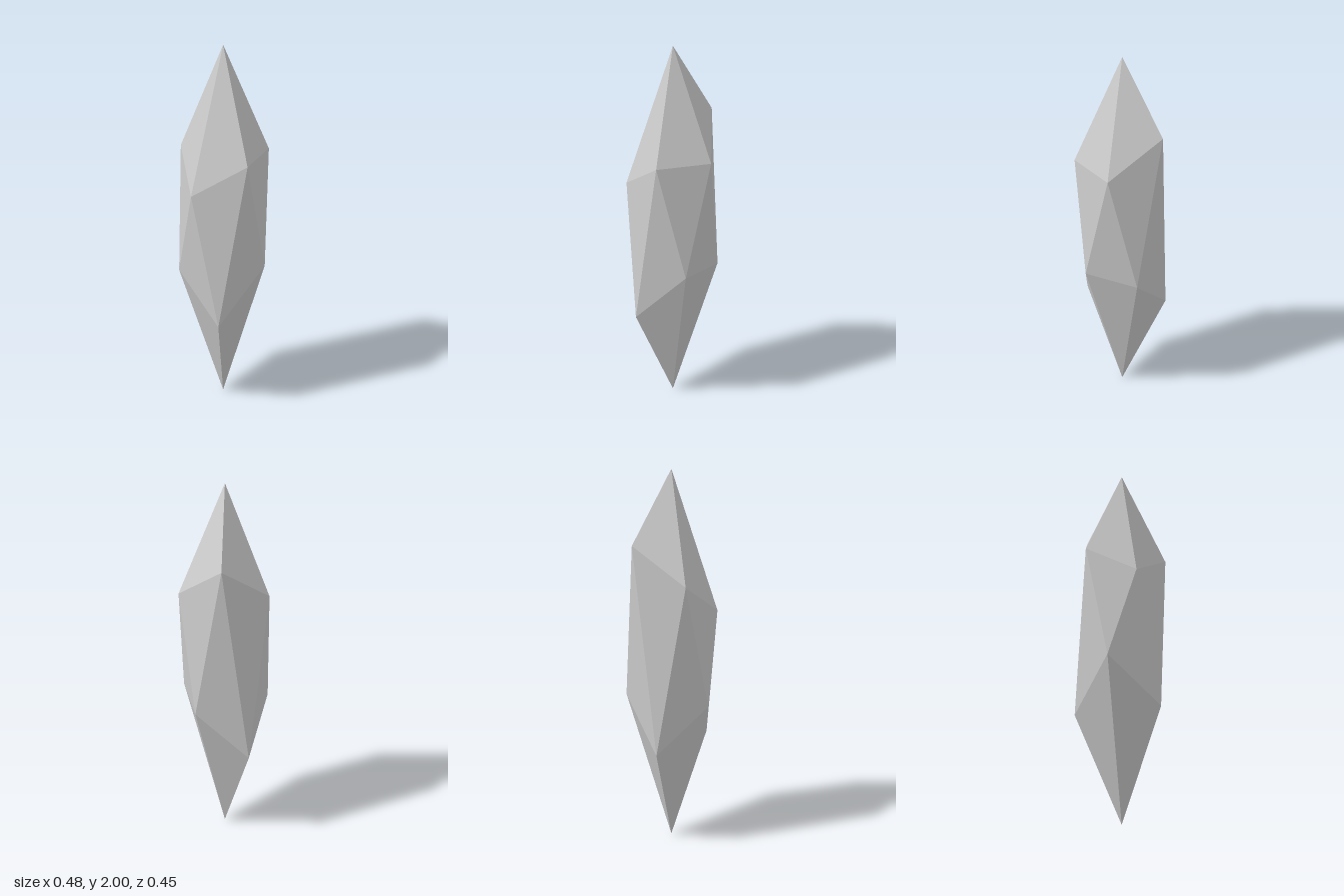
import * as THREE from 'three';

// Five corners of a ring at the given heights, starting at an angle in degrees
function ring(heights, startAngle, radius = 0.238) {
  return heights.map((y, i) => {
    const a = THREE.MathUtils.degToRad(startAngle + i * 72);
    return new THREE.Vector3(radius * Math.cos(a), y, radius * Math.sin(a));
  });
}

export function createModel() {
  const tip = new THREE.Vector3(0, 2, 0);
  const base = new THREE.Vector3(0, 0, 0);

  // Two staggered five-sided rings with uneven heights
  const upper = ring([1.45, 1.45, 1.28, 1.45, 1.64], 0);
  const lower = ring([0.85, 0.56, 0.8, 0.56, 0.82], 36);

  // Tip facets, zigzag belt and base facets
  const points = [];
  for (let i = 0; i < 5; i++) {
    const j = (i + 1) % 5;
    points.push(
      tip, upper[j], upper[i],
      upper[i], upper[j], lower[i],
      lower[i], upper[j], lower[j],
      base, lower[i], lower[j],
    );
  }
  const geometry = new THREE.BufferGeometry().setFromPoints(points);
  geometry.computeVertexNormals();

  const crystal = new THREE.Mesh(
    geometry,
    new THREE.MeshStandardMaterial({ color: 0xcccccc, flatShading: true }),
  );
  crystal.name = 'crystal';

  const model = new THREE.Group();
  model.name = 'crystalShard';
  model.add(crystal);
  return model;
}
